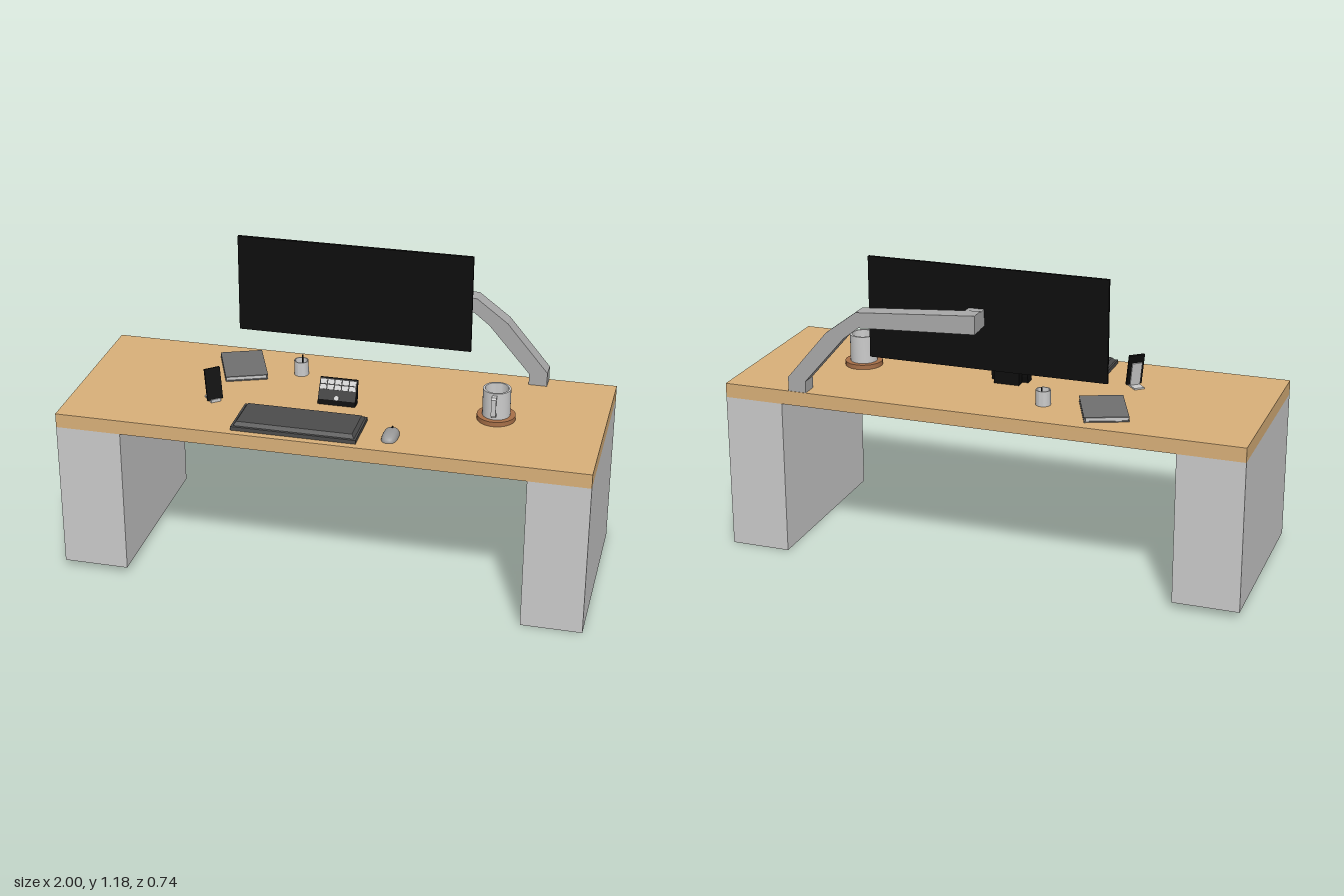
import * as THREE from 'three';
import { toCreasedNormals } from 'three/addons/utils/BufferGeometryUtils.js';

const TOP = 0.655; // height of the desk surface

const mat = (color) => new THREE.MeshStandardMaterial({ color });
const grey = mat(0xcccccc);
const wood = mat(0xd9b079);
const armGrey = mat(0xaaaaaa);
const midGrey = mat(0x999999);
const slate = mat(0x707070);
const charcoal = mat(0x4c4c4c);
const black = mat(0x0d0d0d);
const cork = mat(0xa87048);

function add(parent, name, geometry, material, x = 0, y = 0, z = 0) {
  const mesh = new THREE.Mesh(geometry, material);
  mesh.name = name;
  mesh.position.set(x, y, z);
  parent.add(mesh);
  return mesh;
}

// Box given by its limits on each axis
function box(parent, name, material, x0, x1, y0, y1, z0, z1) {
  const g = new THREE.BoxGeometry(x1 - x0, y1 - y0, z1 - z0);
  return add(parent, name, g, material, (x0 + x1) / 2, (y0 + y1) / 2, (z0 + z1) / 2);
}

function group(parent, name, x, y, z, turn = 0) {
  const g = new THREE.Group();
  g.name = name;
  g.position.set(x, y, z);
  g.rotation.y = turn;
  parent.add(g);
  return g;
}

const polygon = (points) => new THREE.Shape(points.map(([x, y]) => new THREE.Vector2(x, y)));

// Open cup with a wall and an inner floor
function cupGeometry(r, h, wall) {
  const profile = [[0, 0], [r, 0], [r, h], [r - wall, h], [r - wall, wall], [0, wall]]
    .map(([x, y]) => new THREE.Vector2(x, y));
  return toCreasedNormals(new THREE.LatheGeometry(profile, 32), 0.6);
}

// Box whose top face is drawn in on all sides
function taperedBox(w, h, d, inset) {
  const g = new THREE.BoxGeometry(w, h, d).toNonIndexed();
  const p = g.attributes.position;
  for (let i = 0; i < p.count; i++) {
    if (p.getY(i) > 0) {
      p.setX(i, p.getX(i) - Math.sign(p.getX(i)) * inset);
      p.setZ(i, p.getZ(i) - Math.sign(p.getZ(i)) * inset);
    }
  }
  g.computeVertexNormals();
  return g;
}

function addDesk(root) {
  box(root, 'deskTop', wood, -1, 1, 0.6, TOP, -0.368, 0.368);
  box(root, 'rightPedestal', grey, -1, -0.75, 0.025, 0.6, -0.368, 0.368);
  box(root, 'leftPedestal', grey, 0.77, 1, 0, 0.6, -0.368, 0.368);
}

function addMonitor(root) {
  const monitor = group(root, 'monitor', 0, 0, 0);
  box(monitor, 'screen', black, -0.465, 0.45, 0.79, 1.176, -0.264, -0.252);
  // Bent arm: side profile given thickness
  const arm = polygon([
    [0, 0.955], [0.45, 0.932], [0.51, 0.885], [0.67, 0.7], [0.67, TOP], [0.74, TOP],
    [0.74, 0.71], [0.58, 0.9], [0.46, 0.99], [0, 1.025],
  ]);
  const armGeometry = new THREE.ExtrudeGeometry(arm, { depth: 0.065, bevelEnabled: false });
  add(monitor, 'monitorArm', armGeometry, armGrey, 0, 0, -0.366);
  box(monitor, 'screenMount', armGrey, 0, 0.06, 0.957, 1.02, -0.302, -0.264);
}

function addKeyboardAndMouse(root) {
  const keyboard = group(root, 'keyboard', -0.095, TOP, 0.243);
  add(keyboard, 'keyboardBase', new THREE.BoxGeometry(0.47, 0.015, 0.195), charcoal, 0, 0.0075, 0);
  add(keyboard, 'keyBlock', taperedBox(0.455, 0.014, 0.175, 0.01), charcoal, 0, 0.022, 0);

  // Mouse: dome squared off in plan
  const dome = new THREE.SphereGeometry(1, 32, 12, 0, Math.PI * 2, 0, Math.PI / 2);
  const p = dome.attributes.position;
  const square = (v) => Math.sign(v) * Math.abs(v) ** 0.75;
  for (let i = 0; i < p.count; i++) {
    p.setXYZ(i, square(p.getX(i)) * 0.03, p.getY(i) * 0.026, square(p.getZ(i)) * 0.055);
  }
  dome.computeVertexNormals();
  const mouse = group(root, 'mouse', 0.25, TOP, 0.252);
  add(mouse, 'mouseBody', dome, midGrey);
  box(mouse, 'mouseWheel', black, -0.003, 0.003, 0.015, 0.025, -0.04, -0.018);
}

function addMug(root) {
  const mug = group(root, 'mug', 0.597, TOP, 0.012);
  add(mug, 'coaster', new THREE.CylinderGeometry(0.072, 0.072, 0.018, 32), cork, 0, 0.009, 0);
  add(mug, 'mugBody', cupGeometry(0.052, 0.106, 0.008), grey, 0, 0.018, 0);
  const loop = polygon([[0.046, 0.034], [0.068, 0.036], [0.074, 0.045], [0.074, 0.108], [0.068, 0.115], [0.046, 0.117]]);
  loop.holes.push(polygon([[0.047, 0.045], [0.047, 0.107], [0.066, 0.105], [0.066, 0.046]]));
  const handle = add(mug, 'mugHandle',
    new THREE.ExtrudeGeometry(loop, { depth: 0.018, bevelEnabled: false }), grey, 0.009, 0, 0);
  handle.rotation.y = -Math.PI / 2;
}

function addPencilCup(root) {
  const holder = group(root, 'pencilCup', -0.2, TOP, -0.188);
  add(holder, 'cup', cupGeometry(0.028, 0.058, 0.004), grey);
  const pencil = add(holder, 'pencil', new THREE.CylinderGeometry(0.003, 0.003, 0.07, 8), black, 0, 0.037, -0.015);
  pencil.rotation.x = -0.15;
}

function addNotebook(root) {
  const book = group(root, 'notebook', -0.43, TOP, -0.184, 0.38);
  for (const y of [0.002, 0.018]) {
    add(book, 'cover', new THREE.BoxGeometry(0.163, 0.004, 0.228), slate, 0, y, 0);
  }
  add(book, 'pages', new THREE.BoxGeometry(0.155, 0.012, 0.22), grey, -0.002, 0.01, 0);
  add(book, 'spine', new THREE.BoxGeometry(0.004, 0.02, 0.228), slate, -0.0795, 0.01, 0);
}

function addPhone(root) {
  const phone = group(root, 'phoneOnStand', -0.462, TOP, 0.113, 0.7);
  // Stand foot, front lip and leaning back rest
  box(phone, 'standFoot', grey, -0.02, 0.02, 0, 0.006, -0.042, 0.022);
  box(phone, 'standLip', grey, -0.02, 0.02, 0, 0.012, 0.018, 0.022);
  const rest = add(phone, 'standRest', new THREE.BoxGeometry(0.04, 0.095, 0.005), grey, 0, 0.05, -0.009);
  const body = add(phone, 'phone', new THREE.BoxGeometry(0.062, 0.123, 0.009), black, 0, 0.067, -0.001);
  rest.rotation.x = body.rotation.x = -0.2;
}

function addKeyPad(root) {
  const pad = group(root, 'keyPad', -0.002, TOP, 0);
  // Sloped console with its rear support
  const side = polygon([[-0.052, 0], [-0.012, 0], [-0.004, 0.025], [0.002, 0.09], [-0.006, 0.09], [-0.05, 0.02]]);
  const console = add(pad, 'console',
    new THREE.ExtrudeGeometry(side, { depth: 0.144, bevelEnabled: false }), black, -0.072, 0, 0);
  console.rotation.y = Math.PI / 2;
  box(pad, 'rearSupport', black, -0.05, 0.05, 0, 0.055, -0.03, 0.006);
  // Keys laid on the slope
  const slope = group(pad, 'keys', 0, 0.055, 0.029);
  slope.rotation.x = -Math.atan2(0.044, 0.07);
  for (let row = 0; row < 2; row++) {
    for (let column = 0; column < 5; column++) {
      add(slope, 'key', new THREE.BoxGeometry(0.024, 0.017, 0.005), grey,
        (column - 2) * 0.028, 0.007 + row * 0.021, 0);
    }
  }
  const dial = add(pad, 'dial', new THREE.CylinderGeometry(0.009, 0.009, 0.008, 16), grey, 0, 0.027, 0.047);
  dial.rotation.x = Math.PI / 2 + slope.rotation.x;
}

export function createModel() {
  const root = new THREE.Group();
  root.name = 'workDesk';
  addDesk(root);
  addMonitor(root);
  addKeyboardAndMouse(root);
  addMug(root);
  addPencilCup(root);
  addNotebook(root);
  addPhone(root);
  addKeyPad(root);
  return root;
}
